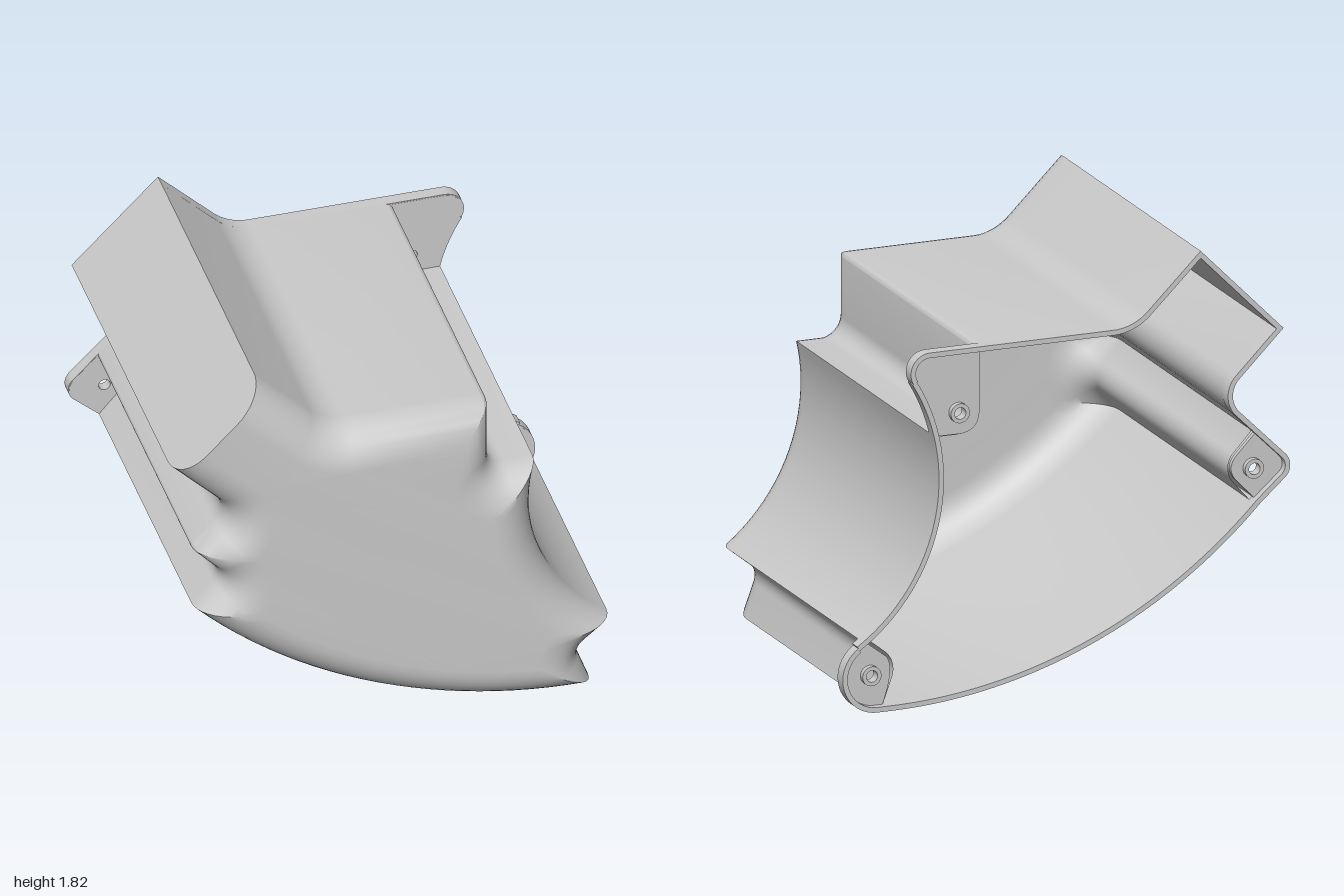
import * as THREE from 'three';
import { toCreasedNormals } from 'three/addons/utils/BufferGeometryUtils.js';

const T = 0.022, ROUND = 0.17;           // wall thickness, front edge radius
const BACK = -0.8, LIP = -0.75, FRONT = 0.8;
const rad = (deg) => (deg * Math.PI) / 180;
const V = (x, y) => new THREE.Vector2(x, y);

const mat = new THREE.MeshStandardMaterial({ color: 0xcccccc, side: THREE.DoubleSide });

// Large arcs shared by body and rim
const SIDE = { c: V(1.38, 0.97), r: 0.81, s: 1 };     // hollow right side
const BELLY = { c: V(0.78, 2.29), r: 2.29, s: -1 };   // bulging underside

// Body corners, clockwise; f = fillet radius, arc = curved edge leaving the corner
const corners = [
  { p: V(-0.97, 1.44) }, { p: V(-0.6, 1.815) },
  { p: V(-0.3, 1.52), f: 0.22 }, { p: V(0.39, 1.52), f: 0.03 },
  { p: V(0.39, 1.16), f: 0.08 }, { p: V(0.593, 1.16), arc: SIDE },
  { p: V(0.91, 0.31) }, { p: V(0.76, 0.19), f: 0.08 },
  { p: V(0.83, 0.0), arc: BELLY }, { p: V(-0.87, 0.7) },
  { p: V(-0.74, 0.85), f: 0.07 }, { p: V(-0.88, 1.0), f: 0.02 },
  { p: V(-0.703, 1.173), f: 0.1 },
];
const N = corners.length;

// Signed inward distance and its gradient for edge i
function edgeDistance(i, p) {
  const { p: a, arc } = corners[i];
  if (arc) {
    const v = p.clone().sub(arc.c), l = v.length();
    return { d: arc.s * (l - arc.r), g: v.multiplyScalar(arc.s / l) };
  }
  const u = corners[(i + 1) % N].p.clone().sub(a).normalize();
  const g = V(u.y, -u.x);
  return { d: p.clone().sub(a).dot(g), g };
}

// Body outline moved inward by d; the flat end (edge 0) moves only by dEnd
function outline(d, dEnd) {
  const target = (i) => (i === 0 ? dEnd : d);
  const pts = corners.map((c, i) => {
    const j = (i + N - 1) % N, p = c.p.clone();
    for (let k = 0; k < 10; k++) {
      const A = edgeDistance(j, p), B = edgeDistance(i, p);
      const ea = target(j) - A.d, eb = target(i) - B.d;
      const det = A.g.x * B.g.y - A.g.y * B.g.x;
      p.x += (ea * B.g.y - eb * A.g.y) / det;
      p.y += (A.g.x * eb - B.g.x * ea) / det;
    }
    return p;
  });
  const out = [];
  corners.forEach((c, i) => {
    const p = pts[i], next = pts[(i + 1) % N], prev = pts[(i + N - 1) % N];
    if (c.f) {
      const u = prev.clone().sub(p), w = next.clone().sub(p);
      const max = 0.9 * Math.min(u.length(), w.length());
      u.normalize(); w.normalize();
      const half = Math.acos(u.dot(w)) / 2;
      const turn = Math.sign(u.x * w.y - u.y * w.x);   // +1 outer corner, -1 inner corner
      const want = turn > 0 ? Math.max(c.f - d, 0.002) : c.f + d;
      const len = Math.min(want / Math.tan(half), max), r = len * Math.tan(half);
      const mid = u.clone().add(w).normalize();
      const o = p.clone().addScaledVector(mid, r / Math.sin(half));
      const sweep = Math.PI / 2 - half;
      for (let k = 0; k <= 8; k++) {
        const a = turn * sweep * (1 - k / 4);
        out.push(mid.clone().multiplyScalar(-r).rotateAround(V(0, 0), a).add(o));
      }
    } else out.push(p);
    if (c.arc) {
      const a0 = p.clone().sub(c.arc.c).angle(), a1 = next.clone().sub(c.arc.c).angle();
      const r = c.arc.r + c.arc.s * d;
      for (let k = 1; k < 24; k++) {
        const a = a0 + ((a1 - a0) * k) / 24;
        out.push(V(c.arc.c.x + r * Math.cos(a), c.arc.c.y + r * Math.sin(a)));
      }
    }
  });
  return out;
}

// Skin with rounded front edge and closed front face; t = depth inside the outer skin
function skin(t, flip) {
  const rows = [{ z: LIP, pts: outline(t, t) }];
  for (let k = 0; k <= 10; k++) {
    const a = (k / 10) * Math.PI / 2, r = ROUND - t;
    rows.push({ z: FRONT - ROUND + r * Math.sin(a), pts: outline(t + r * (1 - Math.cos(a)), t) });
  }
  const n = rows[0].pts.length, pos = [], idx = [];
  rows.forEach(({ z, pts }) => pts.forEach((p) => pos.push(p.x, p.y, z)));
  const tri = (a, b, c) => (flip ? idx.push(a, c, b) : idx.push(a, b, c));
  for (let k = 0; k < rows.length - 1; k++) {
    for (let i = 0; i < n; i++) {
      const a = k * n + i, b = k * n + ((i + 1) % n);
      tri(a, a + n, b);
      tri(b, a + n, b + n);
    }
  }
  const last = rows[rows.length - 1].pts, base = (rows.length - 1) * n;
  for (const [a, b, c] of THREE.ShapeUtils.triangulateShape(last, [])) {
    const ccw = THREE.ShapeUtils.area([last[a], last[b], last[c]]) > 0;
    if (ccw) tri(base + a, base + b, base + c);
    else tri(base + a, base + c, base + b);
  }
  const g = new THREE.BufferGeometry();
  g.setAttribute('position', new THREE.Float32BufferAttribute(pos, 3));
  g.setIndex(idx);
  return toCreasedNormals(g, 0.6);
}

// Rim outline with the three lugs, inset by d
function rimPath(path, d) {
  const arc = (x, y, r, a, b, cw) => path.absarc(x, y, r, rad(a), rad(b), cw);
  path.moveTo(-0.97 + 1.414 * d, 1.44);
  path.lineTo(-0.6, 1.815 - 1.414 * d);
  arc(-0.209, 1.74, 0.22 + d, 225, 270, false);
  arc(0.61, 1.435, 0.085 - d, 90, -31.2, true);
  arc(SIDE.c.x, SIDE.c.y, SIDE.r + d, 148.8, 236.7, false);
  arc(0.845, 0.155, 0.155 - d, 56.7, -90, true);
  arc(BELLY.c.x, BELLY.c.y, BELLY.r - d, 270, 224, true);
  arc(-0.93, 0.848, 0.07 - d, 225, 135, true);
  arc(-0.844, 1.173, 0.1 + d, -45, 45, false);
  path.closePath();
  return path;
}

// Lug plates: outline and screw hole position
const lugs = [
  { name: 'upperLug', hole: [0.47, 1.24], draw(s) {
    s.absarc(0.61, 1.435, 0.08, rad(90), rad(-31.2), true);
    s.absarc(SIDE.c.x, SIDE.c.y, SIDE.r + 0.005, rad(148.8), rad(167.5), false);
    s.lineTo(0.47, 1.145);
    s.quadraticCurveTo(0.375, 1.145, 0.375, 1.24);
    s.lineTo(0.375, 1.515);
  } },
  { name: 'lowerLug', hole: [0.865, 0.155], draw(s) {
    s.absarc(0.845, 0.155, 0.15, rad(56.7), rad(-90), true);
    s.lineTo(0.815, 0.005);
    s.quadraticCurveTo(0.75, 0.17, 0.79, 0.225);
    s.lineTo(0.9, 0.31);
  } },
  { name: 'sideLug', hole: [-0.845, 0.845], draw(s) {
    s.absarc(-0.93, 0.848, 0.066, rad(225), rad(135), true);
    s.lineTo(-0.87, 1.005);
    s.lineTo(-0.77, 0.9);
    s.quadraticCurveTo(-0.73, 0.85, -0.77, 0.8);
    s.lineTo(-0.865, 0.7);
  } },
];

export function createModel() {
  const group = new THREE.Group();
  const add = (name, geo, z = 0) => {
    const m = new THREE.Mesh(geo, mat);
    m.name = name;
    m.position.z = z;
    group.add(m);
  };
  const extrude = (shape, depth) => toCreasedNormals(
    new THREE.ExtrudeGeometry(shape, { depth, bevelEnabled: false, curveSegments: 24 }), 0.6);
  const circle = (path, [x, y], r) => path.absarc(x, y, r, 0, Math.PI * 2, false);

  add('outerShell', skin(0, false));
  add('innerShell', skin(T, true));

  // Open rim at the back
  const rim = rimPath(new THREE.Shape(), 0);
  rim.holes.push(rimPath(new THREE.Path(), T));
  add('backRim', extrude(rim, LIP - BACK + 0.005), BACK);

  // Screw lugs with raised bosses behind
  for (const { name, hole, draw } of lugs) {
    const plate = new THREE.Shape();
    draw(plate);
    plate.holes.push(circle(new THREE.Path(), hole, 0.025));
    add(name, extrude(plate, T), LIP - T + 0.006);
    const boss = circle(new THREE.Shape(), hole, 0.042);
    boss.holes.push(circle(new THREE.Path(), hole, 0.025));
    add(name + 'Boss', extrude(boss, 0.025), LIP - T - 0.018);
  }
  return group;
}
